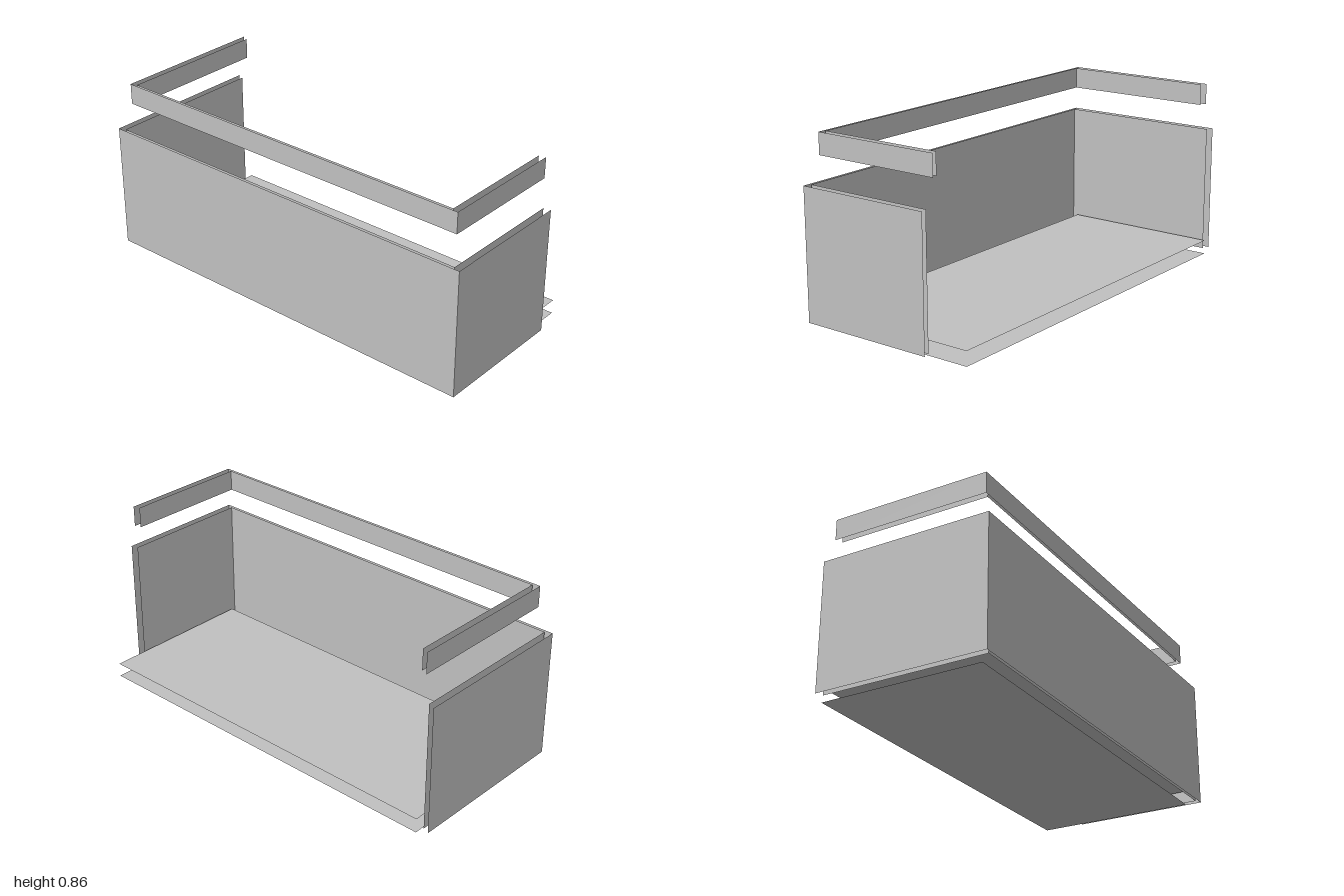
import * as THREE from 'three';

const grey = new THREE.MeshStandardMaterial({ color: 0xc0c0c0, side: THREE.DoubleSide });
grey.name = 'lightGrey';

// Upright sheet standing between two plan points [x, z]
function wall(name, [x0, z0], [x1, z1], bottom, top) {
  const mesh = new THREE.Mesh(new THREE.PlaneGeometry(Math.hypot(x1 - x0, z1 - z0), top - bottom), grey);
  mesh.name = name;
  mesh.position.set((x0 + x1) / 2, (bottom + top) / 2, (z0 + z1) / 2);
  mesh.rotation.y = Math.atan2(z0 - z1, x1 - x0);
  return mesh;
}

// Three-sided shell, open at the back, with one side shorter than the other
function shell(name, s, { halfWidth, front, leftEnd, rightEnd, bottom, top }) {
  const g = new THREE.Group();
  g.name = name;
  const x = halfWidth * s, f = front * s;
  g.add(
    wall('frontPanel', [-x, f], [x, f], bottom, top),
    wall('leftPanel', [x, f], [x, leftEnd * s], bottom, top),
    wall('rightPanel', [-x, rightEnd * s], [-x, f], bottom, top)
  );
  return g;
}

export function createModel() {
  const model = new THREE.Group();
  model.name = 'counter';

  // Tall body and floating rail, each a double skin
  const body = { halfWidth: 1, front: 0.415, leftEnd: -0.245, rightEnd: -0.41, bottom: 0.018, top: 0.633 };
  const rail = { halfWidth: 0.947, front: 0.368, leftEnd: -0.26, rightEnd: -0.398, bottom: 0.762, top: 0.863 };
  for (const [skin, s] of [['Outer', 1], ['Inner', 0.967]]) {
    model.add(shell('body' + skin, s, body), shell('rail' + skin, s, rail));
  }

  // Two floor sheets
  for (const [name, y] of [['lowerFloor', 0], ['upperFloor', 0.068]]) {
    const floor = new THREE.Mesh(new THREE.PlaneGeometry(1.89, 0.78), grey);
    floor.name = name;
    floor.rotation.x = -Math.PI / 2;
    floor.position.set(0, y, -0.03);
    model.add(floor);
  }
  return model;
}
